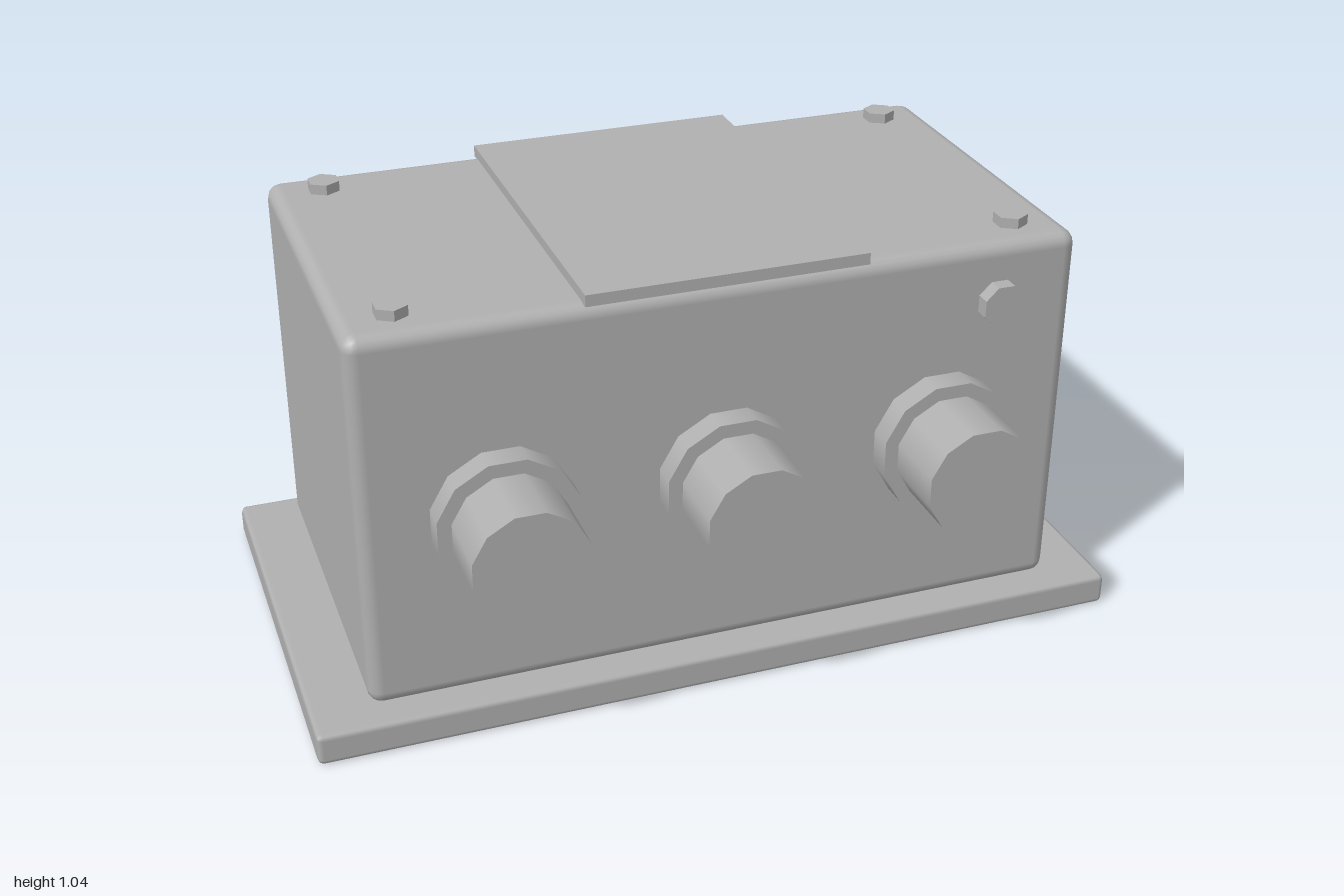
import * as THREE from 'three';
import { RoundedBoxGeometry } from 'three/addons/geometries/RoundedBoxGeometry.js';

export function createModel() {
  const group = new THREE.Group();
  const grey = new THREE.MeshStandardMaterial({ color: 0xb0b0b0 });
  grey.name = 'housing grey';

  const add = (name, geometry, x, y, z, parent = group) => {
    const mesh = new THREE.Mesh(geometry, grey);
    mesh.name = name;
    mesh.position.set(x, y, z);
    parent.add(mesh);
    return mesh;
  };

  // Prism along z, with flats at the top, bottom and sides; width is across flats
  const prismZ = (width, length, sides) => {
    const r = width / 2 / Math.cos(Math.PI / sides);
    return new THREE.CylinderGeometry(r, r, length, sides)
      .rotateY(Math.PI / sides)
      .rotateX(Math.PI / 2);
  };

  // Base flange and housing
  add('basePlate', new RoundedBoxGeometry(2, 0.08, 1.06, 1, 0.014), 0, 0.04, 0);
  add('housing', new RoundedBoxGeometry(1.725, 0.935, 0.93, 2, 0.035), 0, 0.5475, 0);

  // Cover plate across the top
  add('topPlate', new THREE.BoxGeometry(0.667, 0.028, 0.93), 0, 1.026, 0);

  // Hexagonal lid bolts
  const hex = new THREE.CylinderGeometry(0.04, 0.04, 0.04, 6).toNonIndexed();
  hex.computeVertexNormals();
  for (const x of [-0.735, 0.735]) {
    for (const z of [-0.365, 0.365]) add('lidBolt', hex, x, 1.02, z);
  }

  // Cable glands: a collar and a pipe stub, three in front and one behind
  const collar = prismZ(0.33, 0.08, 12);
  const pipe = prismZ(0.264, 0.24, 12);
  const addGland = (x, back) => {
    const gland = new THREE.Group();
    gland.name = back ? 'rearGland' : 'frontGland';
    add('collar', collar, 0, 0, 0.487, gland);
    add('pipe', pipe, 0, 0, 0.58, gland);
    gland.position.set(x, 0.535, 0);
    if (back) gland.rotation.y = Math.PI;
    group.add(gland);
  };
  for (const x of [-0.533, 0, 0.533]) addGland(x, false);
  addGland(0, true);

  // Small earthing stud on the front
  const stud = prismZ(0.1, 0.05, 8).toNonIndexed();
  stud.computeVertexNormals();
  add('earthStud', stud, 0.665, 0.87, 0.476);

  return group;
}
